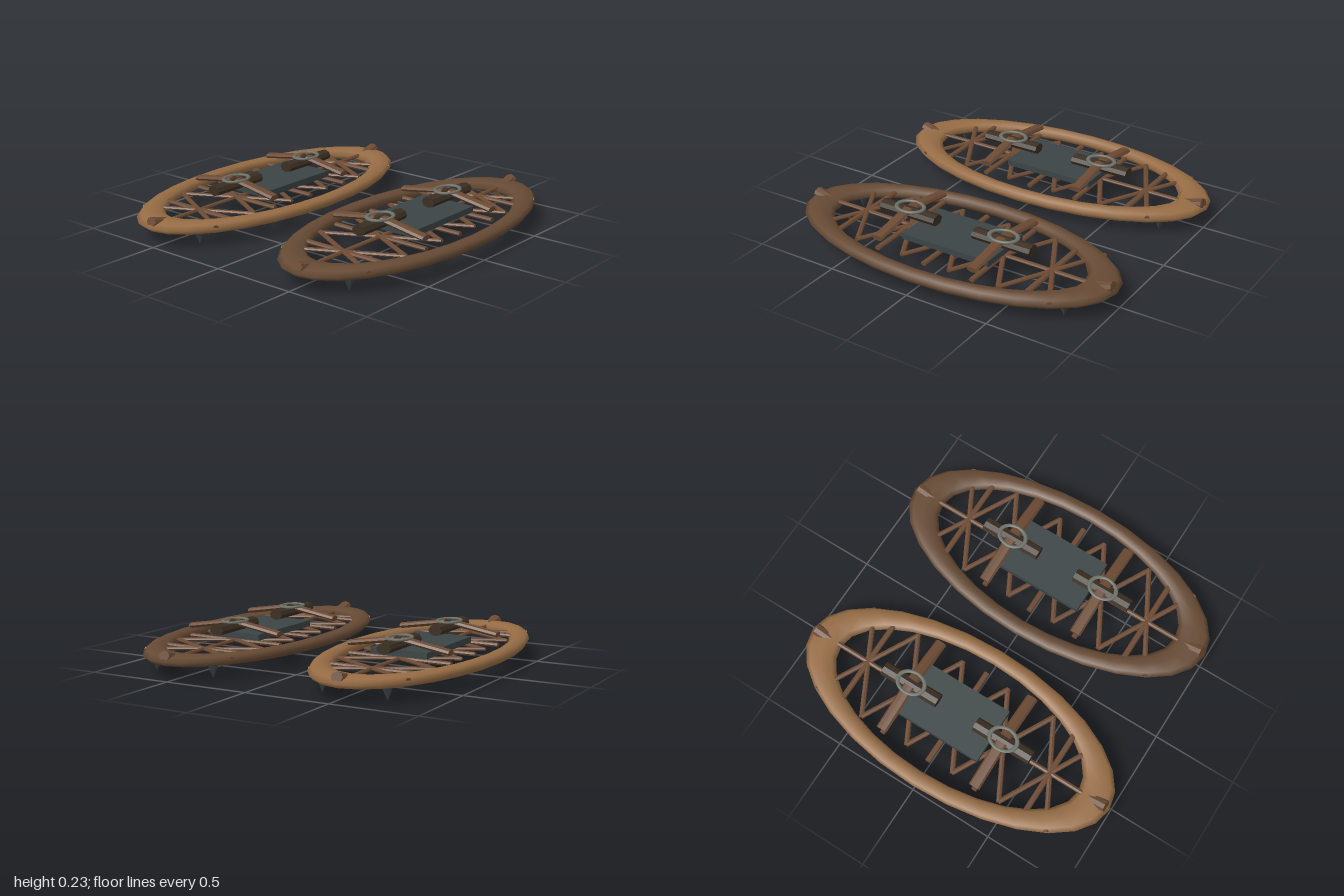
import * as THREE from 'three';

const mat = (name, color, extra = {}) => {
  const m = new THREE.MeshStandardMaterial({ color, ...extra });
  m.name = name;
  return m;
};

export function createModel() {
  const paleWood = mat('pale wood', 0x966c44);
  const darkWood = mat('dark wood', 0x664a34);
  const barWood = mat('bar wood', 0x6b4a33, { flatShading: true });
  const leather = mat('dark leather', 0x3a2e22, { flatShading: true });
  const iron = mat('iron plate', 0x3b4445, { flatShading: true });
  const steel = mat('worn steel', 0x6c7168);

  // Rod between two points, flattened vertically
  function rod(parent, name, a, b, r, material, flat = 0.75, sides = 8) {
    const from = new THREE.Vector3(...a), to = new THREE.Vector3(...b);
    const geo = new THREE.CylinderGeometry(r, r, from.distanceTo(to), sides);
    geo.rotateX(Math.PI / 2).scale(1, flat, 1);
    const mesh = new THREE.Mesh(geo, material);
    mesh.name = name;
    mesh.position.copy(from).lerp(to, 0.5);
    mesh.lookAt(to);
    parent.add(mesh);
  }

  function add(parent, name, geo, material, x, y, z) {
    const mesh = new THREE.Mesh(geo, material);
    mesh.name = name;
    mesh.position.set(x, y, z);
    parent.add(mesh);
  }

  function snowshoe(name, frameMaterial) {
    const shoe = new THREE.Group();
    shoe.name = name;

    // Oval hoop
    const hoop = new THREE.TorusGeometry(0.42, 0.047, 8, 28);
    hoop.rotateX(Math.PI / 2).scale(1, 0.74, 2.141);
    add(shoe, 'frame', hoop, frameMaterial, 0, 0.102, 0);

    // Lattice: spine, crossbars and a crossed pair at each bar
    const y = 0.112;
    rod(shoe, 'spine', [0, y, -0.85], [0, y, 0.85], 0.014, barWood);
    for (let i = -2; i <= 2; i++) {
      const z = i * 0.306;
      rod(shoe, 'crossbar', [-0.308, y, z], [0.308, y, z], 0.017, barWood);
      for (const s of [-1, 1])
        rod(shoe, 'diagonal', [-0.292, y, z - s * 0.155], [0.292, y, z + s * 0.155], 0.015, barWood);
    }

    // Foot plate
    add(shoe, 'footPlate', new THREE.BoxGeometry(0.34, 0.035, 0.56), iron, 0, 0.142, -0.04);

    for (const s of [-1, 1]) {
      // Tilted wrap over each tip of the hoop
      rod(shoe, 'tipWrap', [0, 0.09, s * 0.815], [0, 0.135, s * 0.975], 0.035, barWood, 0.8);

      // Binding: roll along the foot, drooping arms and a buckle ring
      const z = s * 0.307;
      rod(shoe, 'bindingRoll', [0, 0.194, z - 0.183], [0, 0.194, z + 0.183], 0.043, leather, 0.72);
      for (const side of [-1, 1])
        rod(shoe, 'bindingArm', [side * 0.02, 0.218, z], [side * 0.304, 0.172, z], 0.034, barWood, 0.5);
      const ring = new THREE.TorusGeometry(0.064, 0.01, 8, 24);
      ring.rotateX(Math.PI / 2).scale(1, 0.8, 1.28);
      add(shoe, 'buckleRing', ring, steel, 0, 0.226, z);

      // Spikes under the hoop
      for (const side of [-1, 1]) {
        const spike = new THREE.ConeGeometry(0.033, 0.08, 6).rotateX(Math.PI);
        add(shoe, 'spike', spike, iron, side * 0.19, 0.04, s * 0.795);
      }
    }
    return shoe;
  }

  const model = new THREE.Group();
  model.name = 'snowshoes';
  const right = snowshoe('rightShoe', paleWood);
  const left = snowshoe('leftShoe', darkWood);
  right.position.x = -0.533;
  left.position.x = 0.533;
  model.add(right, left);
  return model;
}
